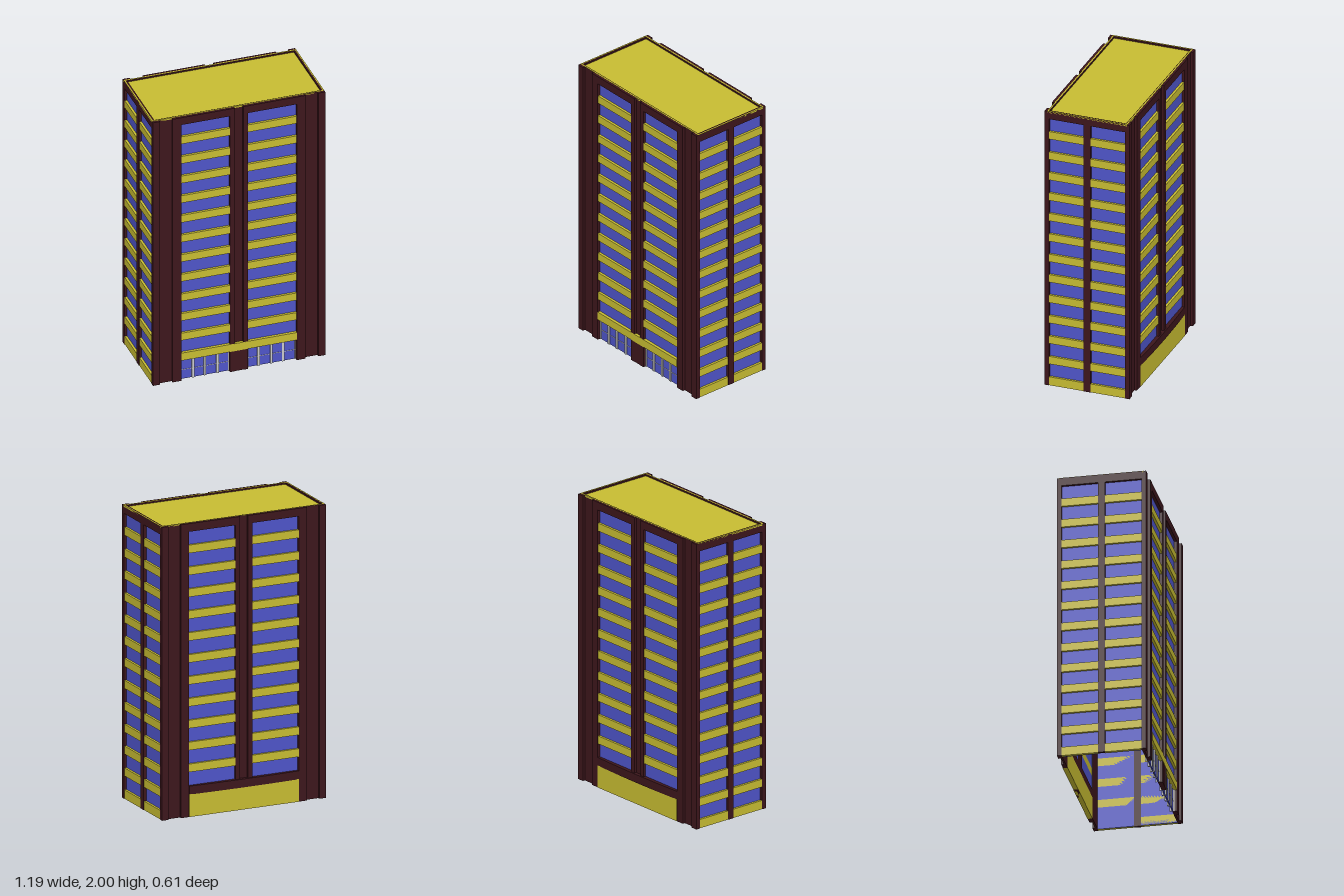
import * as THREE from 'three';

export function createModel() {
  const model = new THREE.Group();
  model.name = 'towerBlock';
  const mat = (color) => new THREE.MeshStandardMaterial({ color, side: THREE.DoubleSide });
  const brown = mat(0x3d161c), yellow = mat(0xc8bd32), blue = mat(0x4f55ca), grey = mat(0xcccccc);

  // Box given by its ranges on each axis
  function box(name, material, [x0, x1], [y0, y1], [z0, z1]) {
    const mesh = new THREE.Mesh(new THREE.BoxGeometry(x1 - x0, y1 - y0, Math.abs(z1 - z0)), material);
    mesh.position.set((x0 + x1) / 2, (y0 + y1) / 2, (z0 + z1) / 2);
    mesh.name = name;
    model.add(mesh);
  }
  const mirror = ([a, b], s) => (s > 0 ? [a, b] : [-b, -a]);

  const W = 0.597, H = 2, TOP = 1.945, STEP = 0.1493;
  const full = [0, H], fascia = [TOP, H];
  const bandRange = (i) => [0.006 + i * STEP - (i ? 0 : 0.006), 0.061 + i * STEP];

  // Front and back: recessed wall, raised pilasters, glazing and spandrels
  const faces = [
    { name: 'front', wall: [0.27, 0.284], raised: [0.284, 0.302], glass: [0.272, 0.282], band: [0.272, 0.299] },
    { name: 'back', wall: [-0.276, -0.262], raised: [-0.293, -0.276], glass: [-0.274, -0.264], band: [-0.29, -0.264] },
  ];
  for (const f of faces) {
    box(f.name + 'CentreWall', brown, [-0.062, 0.062], full, f.wall);
    for (const s of [1, -1]) {
      const bay = mirror([0.062, 0.4], s);
      box(f.name + 'CornerWall', brown, mirror([0.4, W], s), full, f.wall);
      box(f.name + 'TopWall', brown, bay, fascia, f.wall);
      box(f.name + 'CornerPilaster', brown, mirror([0.549, W], s), full, f.raised);
      box(f.name + 'BayPilaster', brown, mirror([0.4, 0.46], s), full, f.raised);
      box(f.name + 'CentrePilaster', brown, mirror([0.03, 0.062], s), full, f.raised);
      box(f.name + 'Fascia', brown, bay, fascia, f.raised);
      box(f.name + 'Windows', blue, bay, [0.21, TOP], f.glass);
      for (let i = 2; i < 13; i++) box(f.name + 'Spandrel', yellow, bay, bandRange(i), f.band);
    }
  }

  // Sides: corner posts, middle pier, glazing and spandrels
  for (const s of [1, -1]) {
    const skin = mirror([0.577, W], s);
    box('sideMiddlePier', brown, skin, full, [-0.02, 0.027]);
    box('sideFascia', brown, skin, fascia, [-0.262, 0.27]);
    for (const z of [[0.027, 0.27], [-0.262, -0.02]]) {
      box('sideWindows', blue, mirror([0.57, 0.578], s), [0, TOP], z);
      for (let i = 0; i < 13; i++) box('sideSpandrel', yellow, mirror([0.57, 0.594], s), bandRange(i), z);
    }
  }

  // Entrance: canopy, pier, glass and frames
  box('entranceCanopy', yellow, [-0.4, 0.4], [0.153, 0.21], [0.27, 0.3025]);
  box('entrancePier', brown, [-0.062, 0.062], [0, 0.153], [0.27, 0.3]);
  for (const s of [1, -1]) {
    box('entranceGlass', blue, mirror([0.062, 0.4], s), [0, 0.153], [0.27, 0.278]);
    for (const x of [0.067, 0.142, 0.23, 0.312, 0.395])
      box('entranceMullion', grey, mirror(x > 0.1 && x < 0.39 ? [x - 0.008, x + 0.008] : [x - 0.003, x + 0.003], s), [0, 0.153], [0.255, 0.286]);
    box('entranceRail', grey, mirror([0.062, 0.4], s), [0.068, 0.071], [0.27, 0.281]);
  }

  // Back base panel with a gently bowed ledge above it
  box('backBasePanel', yellow, [-0.4, 0.4], [0, 0.155], [-0.295, -0.262]);
  const ledge = new THREE.Shape();
  ledge.moveTo(-0.4, 0.262);
  ledge.lineTo(0.4, 0.262);
  ledge.lineTo(0.4, 0.294);
  ledge.quadraticCurveTo(0, 0.311, -0.4, 0.294);
  const ledgeGeo = new THREE.ExtrudeGeometry(ledge, { depth: 0.057, bevelEnabled: false, curveSegments: 16 });
  ledgeGeo.rotateX(-Math.PI / 2);
  const ledgeMesh = new THREE.Mesh(ledgeGeo, brown);
  ledgeMesh.position.y = 0.153;
  ledgeMesh.name = 'backLedge';
  model.add(ledgeMesh);

  // Flat roof with a thin raised rim
  box('roof', yellow, [-0.59, 0.59], [1.975, 1.99], [-0.27, 0.278]);
  const rim = [1.99, 2.001];
  for (const s of [1, -1]) box('roofRimSide', yellow, mirror([0.588, W], s), rim, [-0.276, 0.284]);
  box('roofRimFront', yellow, [-W, W], rim, [0.275, 0.284]);
  box('roofRimBack', yellow, [-W, W], rim, [-0.276, -0.267]);

  return model;
}
